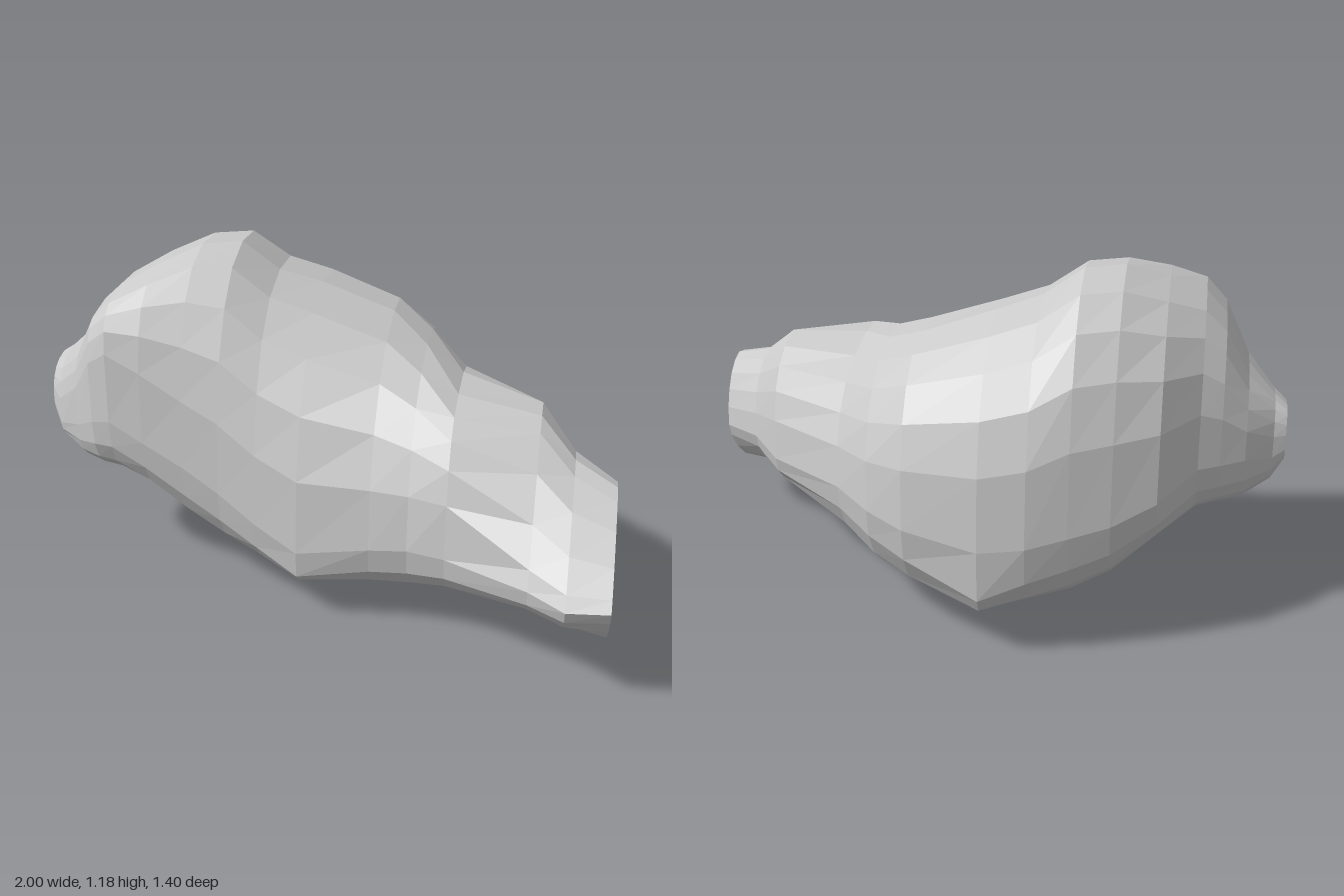
import * as THREE from 'three';

const { lerp, smoothstep } = THREE.MathUtils;
const bump = (x, centre, width) => Math.exp(-(((x - centre) / width) ** 2));

// Cross-sections along x: x, topY, topZ, bottomY, bottomZ, frontZ, frontY, backZ, backY
const SECTIONS = [
  [-1.00, 0.73, -0.16, 0.54, -0.12, -0.02, 0.60, -0.23, 0.60],
  [-0.96, 0.76, -0.14, 0.46, -0.10, 0.03, 0.54, -0.25, 0.58],
  [-0.87, 0.85, -0.10, 0.40, -0.08, 0.11, 0.58, -0.33, 0.60],
  [-0.79, 1.00, -0.05, 0.39, -0.08, 0.19, 0.64, -0.38, 0.60],
  [-0.72, 1.07, -0.03, 0.38, -0.10, 0.22, 0.66, -0.42, 0.60],
  [-0.60, 1.13, -0.08, 0.32, -0.15, 0.24, 0.60, -0.56, 0.54],
  [-0.46, 1.185, -0.15, 0.20, -0.20, 0.26, 0.53, -0.62, 0.48],
  [-0.33, 1.185, -0.20, 0.13, -0.20, 0.28, 0.45, -0.66, 0.45],
  [-0.20, 1.09, -0.20, 0.115, -0.20, 0.31, 0.36, -0.695, 0.42],
  [-0.05, 1.04, -0.23, 0.11, -0.15, 0.345, 0.28, -0.70, 0.40],
  [0.20, 0.95, -0.23, 0.07, -0.10, 0.36, 0.33, -0.64, 0.43],
  [0.33, 0.88, -0.12, 0.08, -0.08, 0.375, 0.35, -0.56, 0.45],
  [0.46, 0.81, 0.10, 0.13, 0.02, 0.42, 0.36, -0.41, 0.45],
  [0.74, 0.78, 0.15, 0.215, 0.25, 0.59, 0.38, -0.17, 0.42],
  [0.86, 0.67, 0.23, 0.19, 0.36, 0.70, 0.39, 0.00, 0.42],
  [1.00, 0.62, 0.30, 0.14, 0.43, 0.70, 0.40, 0.12, 0.40],
];
const STEPS = 5; // facets per quarter of a ring
const RING = STEPS * 4;

// Ring of [x, y, z] points: top -> front -> bottom -> back, four rounded quarters
function ring([x, tY, tZ, bY, bZ, fZ, fY, kZ, kY]) {
  // roundness: below 1 is boxy, 1 is elliptic, near 2 is straight
  const shoulder = 0.9 - 0.5 * bump(x, -0.75, 0.2) - 0.2 * bump(x, 0.46, 0.12);
  const heel = bump(x, -0.05, 0.13); // square lower corners mid-body
  const taper = smoothstep(x, 0.7, 1); // angular narrow end
  const frontTop = shoulder + 0.7 * smoothstep(x, 0.46, 0.75);
  const frontBottom = lerp(0.85 - 0.4 * heel, 1.5, taper);
  const backBottom = lerp(0.82 + 0.25 * smoothstep(x, 0.1, 0.3) - 0.42 * heel, 1.4, taper);
  const quarters = [
    [tZ, tY, fZ, fY, frontTop, false],
    [bZ, bY, fZ, fY, frontBottom, true],
    [bZ, bY, kZ, kY, backBottom, false],
    [tZ, tY, kZ, kY, lerp(0.8, 1, taper), true],
  ];
  const points = [];
  for (const [vz, vy, sz, sy, p, reverse] of quarters) {
    for (let i = 0; i < STEPS; i++) {
      const a = ((reverse ? STEPS - i : i) / STEPS) * Math.PI / 2;
      const s = Math.max(0, Math.sin(a)) ** p;
      const c = Math.max(0, Math.cos(a)) ** p;
      points.push([x, sy + (vy - sy) * c, vz + (sz - vz) * s]);
    }
  }
  return points;
}

function bodyGeometry() {
  const rings = SECTIONS.map(ring);
  // small pointed knob under the belly
  rings[10][STEPS * 2][1] = 0;
  const vertices = rings.flat();
  const index = [];
  for (let r = 0; r < rings.length - 1; r++) {
    for (let i = 0; i < RING; i++) {
      const a = r * RING + i;
      const b = r * RING + (i + 1) % RING;
      index.push(a, b, a + RING, b, b + RING, a + RING);
    }
  }
  // blunt end, and a narrow end dented inwards
  const blunt = vertices.push([-1, 0.63, -0.13]) - 1;
  const dent = vertices.push([0.9, 0.31, 0.38]) - 1;
  const last = (rings.length - 1) * RING;
  for (let i = 0; i < RING; i++) {
    const j = (i + 1) % RING;
    index.push(blunt, j, i, dent, last + i, last + j);
  }
  const geometry = new THREE.BufferGeometry();
  geometry.setAttribute('position', new THREE.Float32BufferAttribute(vertices.flat(), 3));
  geometry.setIndex(index);
  geometry.computeVertexNormals();
  return geometry;
}

export function createModel() {
  const group = new THREE.Group();
  group.name = 'boulder';
  const material = new THREE.MeshStandardMaterial({
    color: 0xcccccc, flatShading: true, side: THREE.DoubleSide,
  });
  const body = new THREE.Mesh(bodyGeometry(), material);
  body.name = 'rockBody';
  group.add(body);
  return group;
}
